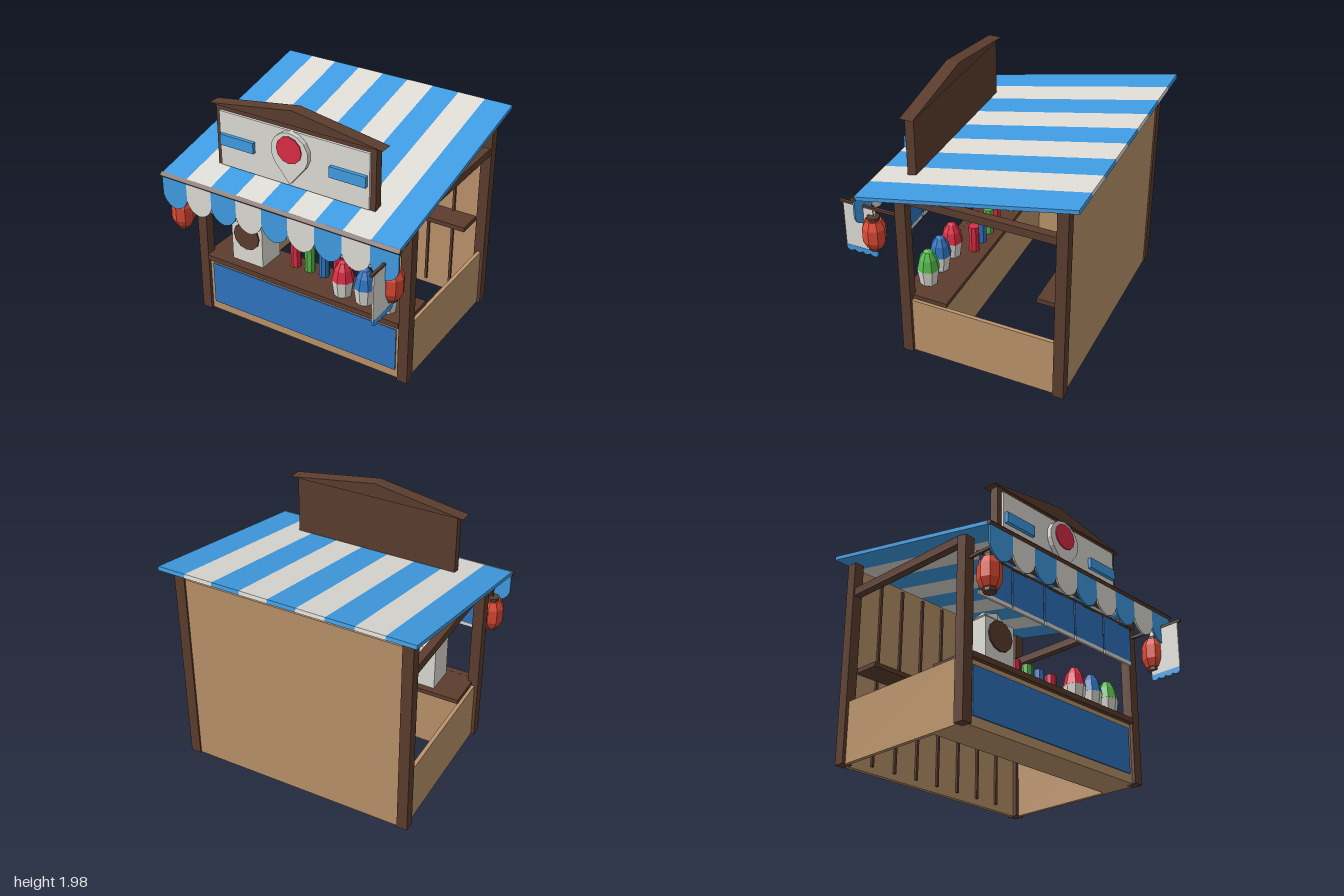
import * as THREE from 'three';

const mat = (name, color, flat = true) => {
  const m = new THREE.MeshStandardMaterial({ color, flatShading: flat });
  m.name = name;
  return m;
};

export function createModel() {
  const root = new THREE.Group();
  root.name = 'marketStall';
  const wood = mat('darkWood', 0x5c3d2e), tan = mat('lightWood', 0xbb936a);
  const sky = mat('skyBlue', 0x3f9ce3), deep = mat('deepBlue', 0x2f74c0);
  const white = mat('offWhite', 0xdedcd5), red = mat('red', 0xdc2c45);
  const green = mat('green', 0x55b84a), orange = mat('lanternRed', 0xde4a33);

  const add = (name, geo, m, x = 0, y = 0, z = 0, parent = root) => {
    const mesh = new THREE.Mesh(geo, m);
    mesh.name = name;
    mesh.position.set(x, y, z);
    parent.add(mesh);
    return mesh;
  };
  // Box given by its limits on each axis
  const box = (name, m, x0, x1, y0, y1, z0, z1, parent) =>
    add(name, new THREE.BoxGeometry(x1 - x0, y1 - y0, z1 - z0), m,
      (x0 + x1) / 2, (y0 + y1) / 2, (z0 + z1) / 2, parent);
  const lathe = (name, m, pts, sides, x, y, z) =>
    add(name, new THREE.LatheGeometry(pts.map(p => new THREE.Vector2(...p)), sides), m, x, y, z);
  const plate = (shape, depth) =>
    new THREE.ExtrudeGeometry(shape, { depth, bevelEnabled: false, curveSegments: 5 });
  const rodX = (name, r, len, sides, y, z) => {
    const g = new THREE.CylinderGeometry(r, r, len, sides).rotateZ(Math.PI / 2);
    return add(name, g, wood, 0, y, z);
  };

  // Frame, side panels, lanterns and brackets
  for (const s of [-1, 1]) {
    const x = s * 0.89;
    box('frontPost', wood, x - 0.041, x + 0.041, 0, 1.39, 0.373, 0.456);
    box('backPost', wood, x - 0.041, x + 0.041, 0, 1.61, -0.838, -0.755);
    box('sideBeam', wood, x - 0.03, x + 0.03, 1.33, 1.393, -0.755, 0.373);
    box('sidePanel', tan, x - 0.015, x + 0.015, 0, 0.475, -0.755, 0.373);
    box('lanternBracket', wood, x - 0.01, x + 0.01, 1.19, 1.21, 0.455, 0.655);
    box('lanternHook', wood, x - 0.005, x + 0.005, 1.13, 1.2, 0.65, 0.66);
    lathe('lantern', orange, [[0, 0.88], [0.06, 0.88], [0.088, 0.94], [0.088, 1.05], [0.06, 1.11], [0, 1.11]],
      8, s * 0.895, 0, 0.655);
    for (const y of [0.87, 1.12])
      add('lanternCap', new THREE.CylinderGeometry(0.047, 0.047, 0.032, 8), wood, s * 0.895, y, 0.655);
  }

  // Back wall with battens and shelf
  box('backWall', tan, -0.85, 0.85, 0, 1.58, -0.825, -0.79);
  for (let i = -3; i <= 3; i++)
    box('wallBatten', wood, i * 0.213 - 0.01, i * 0.213 + 0.01, 0.05, 1.55, -0.79, -0.772);
  box('wallShelf', wood, -0.83, 0.83, 0.725, 0.762, -0.79, -0.58);

  // Counter
  box('counterBody', tan, -0.875, 0.875, 0, 0.475, 0.13, 0.43);
  box('counterPanel', deep, -0.82, 0.82, 0.07, 0.43, 0.43, 0.439);
  box('counterTop', wood, -0.88, 0.88, 0.475, 0.51, 0.105, 0.44);
  box('counterEdge', wood, -0.85, 0.85, 0.468, 0.511, 0.42, 0.465);

  // Striped roof and scalloped valance
  const roof = new THREE.Group();
  roof.name = 'stripedRoof';
  roof.position.set(0, 1.503, -0.0925);
  roof.rotation.x = Math.atan2(0.37, 1.675);
  root.add(roof);
  const w = 1.985 / 9;
  const scallop = new THREE.Shape();
  scallop.moveTo(-w / 2, 0);
  scallop.lineTo(-w / 2, -0.16);
  scallop.bezierCurveTo(-w * 0.42, -0.225, -w * 0.2, -0.25, 0, -0.258);
  scallop.bezierCurveTo(w * 0.2, -0.25, w * 0.42, -0.225, w / 2, -0.16);
  scallop.lineTo(w / 2, 0);
  const scallopGeo = plate(scallop, 0.014);
  for (let i = 0; i < 9; i++) {
    const x = (i - 4) * w, m = i % 2 ? white : sky;
    box('roofStripe', m, x - w / 2, x + w / 2, -0.015, 0.015, -0.857, 0.857, roof);
    add('valanceScallop', scallopGeo, m, x, 1.315, 0.737);
  }
  rodX('valanceRod', 0.023, 2, 4, 1.315, 0.745);

  // Hanging curtain in five panels
  rodX('curtainRod', 0.012, 1.7, 6, 1.25, 0.485);
  for (let i = -2; i <= 2; i++) {
    const x = i * 0.334;
    box('curtainPanel', deep, x - 0.16, x + 0.16, 0.96, 1.25, 0.48, 0.49);
    box('curtainHem', white, x - 0.16, x + 0.16, 0.93, 0.96, 0.477, 0.493);
  }

  // Sign board with gable, pin and bars
  box('signBack', wood, -0.66, 0.66, 1.34, 1.87, 0.423, 0.492);
  box('signFace', white, -0.62, 0.62, 1.4, 1.83, 0.49, 0.512);
  const gable = new THREE.Shape([[-0.71, 1.866], [0.71, 1.866], [0, 1.98]].map(p => new THREE.Vector2(...p)));
  add('signGable', plate(gable, 0.1), wood, 0, 0, 0.405);
  const pin = new THREE.Shape();
  pin.moveTo(0, 1.43);
  for (let i = 0; i <= 10; i++) {
    const a = THREE.MathUtils.degToRad(-35 + i * 25);
    pin.lineTo(Math.cos(a) * 0.155, 1.675 + Math.sin(a) * 0.155);
  }
  add('signPin', plate(pin, 0.04), white, 0, 0, 0.51);
  add('signPinDisc', new THREE.CylinderGeometry(0.104, 0.104, 0.008, 12).rotateX(Math.PI / 2), red, 0, 1.7, 0.554);
  for (const s of [-1, 1]) box('signBar', sky, s * 0.46 - 0.144, s * 0.46 + 0.144, 1.575, 1.66, 0.51, 0.54);

  // Ice machine
  box('iceMachine', white, -0.66, -0.38, 0.51, 0.865, 0.155, 0.385);
  add('iceMachineDial', new THREE.CylinderGeometry(0.116, 0.116, 0.012, 12).rotateX(Math.PI / 2), wood, -0.52, 0.75, 0.39);
  const ice = add('iceBlock', new THREE.IcosahedronGeometry(0.108, 0), white, -0.52, 0.912, 0.27);
  ice.scale.y = 0.47;

  // Syrup bottles
  [red, green, blueOf(deep), red].forEach((m, i) =>
    add('syrupBottle', new THREE.CylinderGeometry(0.042, 0.042, 0.22, 8), m, -0.187 + i * 0.128, 0.62, 0.215));

  // Shaved ice cups
  [red, deep, green].forEach((m, i) => {
    const x = 0.315 + i * 0.188;
    add('iceCup', new THREE.CylinderGeometry(0.086, 0.068, 0.13, 8), white, x, 0.575, 0.345);
    lathe('shavedIce', m, [[0, 0.64], [0.087, 0.64], [0.066, 0.73], [0.033, 0.785], [0, 0.8]], 8, x, 0, 0.345);
  });

  // Side flag on its rod
  box('flagRod', wood, 0.876, 0.896, 1.185, 1.203, 0.5, 0.93);
  box('flagCloth', white, 0.88, 0.892, 0.82, 1.19, 0.64, 0.9);
  const hem = new THREE.Shape();
  hem.moveTo(-0.13, 0.82);
  hem.lineTo(-0.13, 0.785);
  for (let i = 0; i < 4; i++) {
    const x = -0.13 + i * 0.065;
    hem.quadraticCurveTo(x + 0.0325, 0.755, x + 0.065, 0.785);
  }
  hem.lineTo(0.13, 0.82);
  add('flagHem', plate(hem, 0.016).rotateY(-Math.PI / 2), sky, 0.894, 0, 0.77);

  return root;
}

// Blue syrup shares the deep blue of the panels
function blueOf(m) { return m; }
